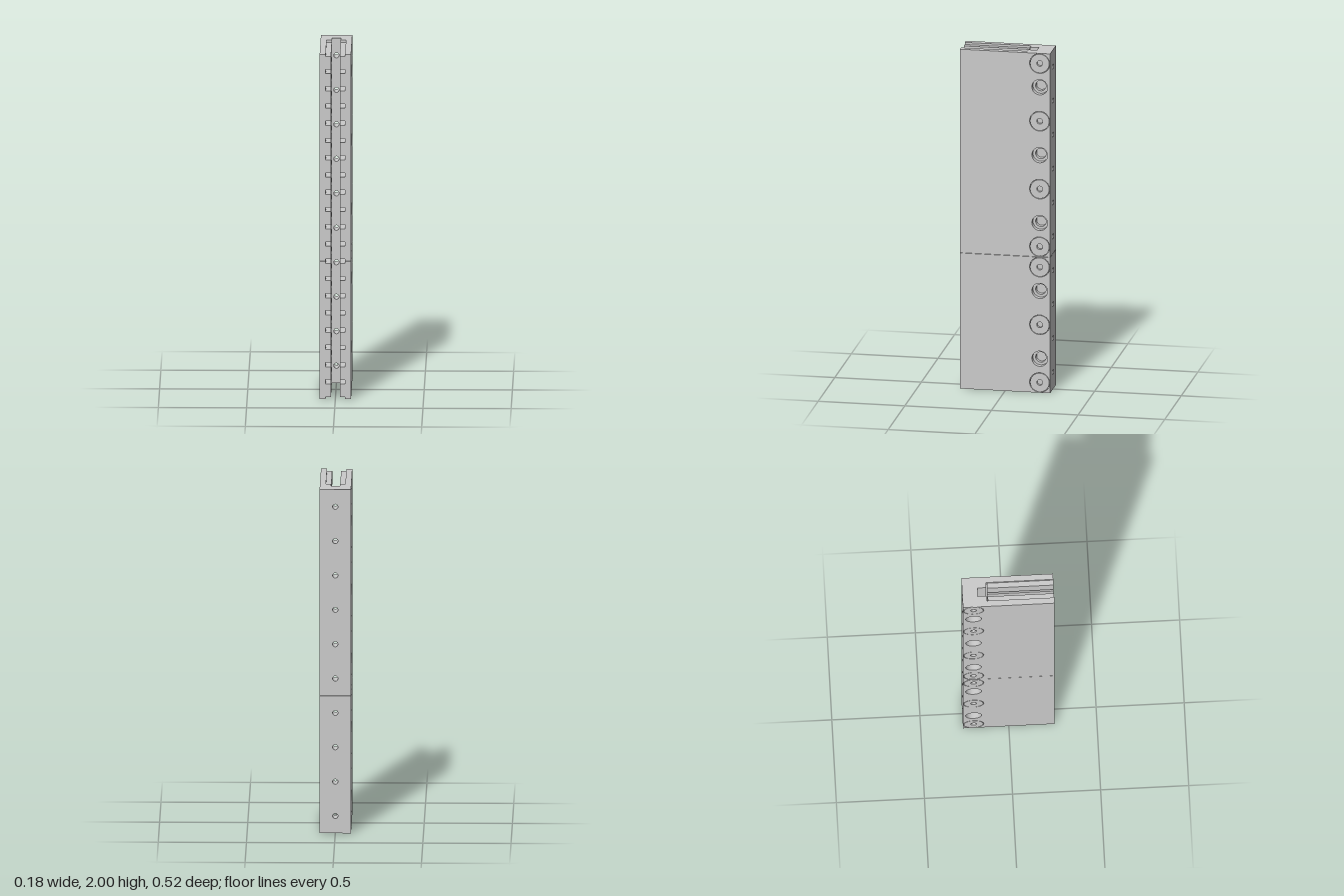
import * as THREE from 'three';

const steel = new THREE.MeshStandardMaterial({ color: 0xcccccc, flatShading: true });
const HALF_W = 0.089, FRONT = 0.26, BACK = -0.26, BORE_Z = -0.2;
const SLOT = 0.055, INNER = 0.025;           // half widths of the stepped channel
const SHOULDER_Z = -0.123, FLOOR_Z = -0.173; // depths of the two channel steps
const SKIN = 0.069;                          // bottom of the plug pockets
const GAP = 0.001;

function add(group, name, geometry) {
  const mesh = new THREE.Mesh(geometry, steel);
  mesh.name = name;
  group.add(mesh);
  return mesh;
}

// Rectangle with round holes given as [x, y, radius]
function plate(x0, x1, y0, y1, holes, depth) {
  const shape = new THREE.Shape();
  shape.moveTo(x0, y0).lineTo(x1, y0).lineTo(x1, y1).lineTo(x0, y1).closePath();
  for (const [x, y, r] of holes) {
    shape.holes.push(new THREE.Path().absarc(x, y, r, 0, Math.PI * 2, true));
  }
  return new THREE.ExtrudeGeometry(shape, { depth, bevelEnabled: false, curveSegments: 32 });
}

// Plate lying in the yz plane, spanning x0..x1, bored along x
function xSlab(x0, x1, zFront, y0, y1, bores) {
  const holes = bores.map(([y, r]) => [-BORE_Z, y, r]);
  return plate(-zFront, -BACK, y0, y1, holes, x1 - x0).rotateY(Math.PI / 2).translate(x0, 0, 0);
}

// One length of track
function section(name, start, end, plugYs) {
  const group = new THREE.Group();
  group.name = name;
  const y0 = start > 0 ? start + GAP : start;
  const y1 = end < 2 ? end - GAP : end;
  const boltYs = [0.2, 0.6, 1, 1.4, 1.8].filter(y => y > start && y < end);
  const counterbores = boltYs.map(y => [y, 0.045]);
  const bolts = boltYs.map(y => [y, 0.03]);
  const pockets = plugYs.map(y => [y, 0.058]);

  for (const s of [1, -1]) {
    const slab = (label, a, b, zFront, bores) => add(group, label,
      xSlab(Math.min(s * a, s * b), Math.max(s * a, s * b), zFront, y0, y1, bores));
    slab('sideSkin', SKIN, HALF_W, FRONT, [...counterbores, ...pockets]);
    slab('sideWall', SLOT, SKIN, FRONT, counterbores);
    slab('shoulder', INNER, SLOT, SHOULDER_Z, bolts);

    // Flush plugs with a small centre hole
    for (const y of plugYs) {
      const ring = plate(0, 0, 0, 0, [], 0);
      ring.dispose();
      const disc = new THREE.Shape().absarc(0, 0, 0.055, 0, Math.PI * 2, false);
      disc.holes.push(new THREE.Path().absarc(0, 0, 0.017, 0, Math.PI * 2, true));
      const plug = add(group, 'plug', new THREE.ExtrudeGeometry(disc,
        { depth: HALF_W - SKIN, bevelEnabled: false, curveSegments: 32 }).rotateY(Math.PI / 2));
      plug.position.set(s > 0 ? SKIN : -HALF_W, y, BORE_Z);
    }

    // Row of magnets lining the channel
    for (let y = start + 0.05; y < end; y += 0.1) {
      add(group, 'magnet', new THREE.BoxGeometry(SLOT - INNER, 0.075, FRONT + 0.117))
        .position.set(s * (SLOT + INNER) / 2, y, (FRONT - 0.117) / 2);
    }
  }

  // Spine: blocks bored alternately from the back and from the side
  for (let k = Math.round(start * 10); k <= Math.round(end * 10); k++) {
    const y = k / 10;
    const a = Math.max(y0, y - 0.05), b = Math.min(y1, y + 0.05);
    if (k % 2) {
      add(group, 'spineBlock', plate(-INNER, INNER, a, b, [[0, y, 0.015]], FLOOR_Z - BACK)
        .translate(0, 0, BACK));
    } else {
      const bore = bolts.filter(([by]) => Math.abs(by - y) < 0.01);
      add(group, 'spineBlock', xSlab(-INNER, INNER, FLOOR_Z, a, b, bore));
    }
  }
  return group;
}

export function createModel() {
  const model = new THREE.Group();
  model.name = 'magnetTrack';
  model.add(section('lowerSection', 0, 0.8, [0.06, 0.4, 0.74]));
  model.add(section('upperSection', 0.8, 2, [0.86, 1.2, 1.6, 1.94]));
  return model;
}
